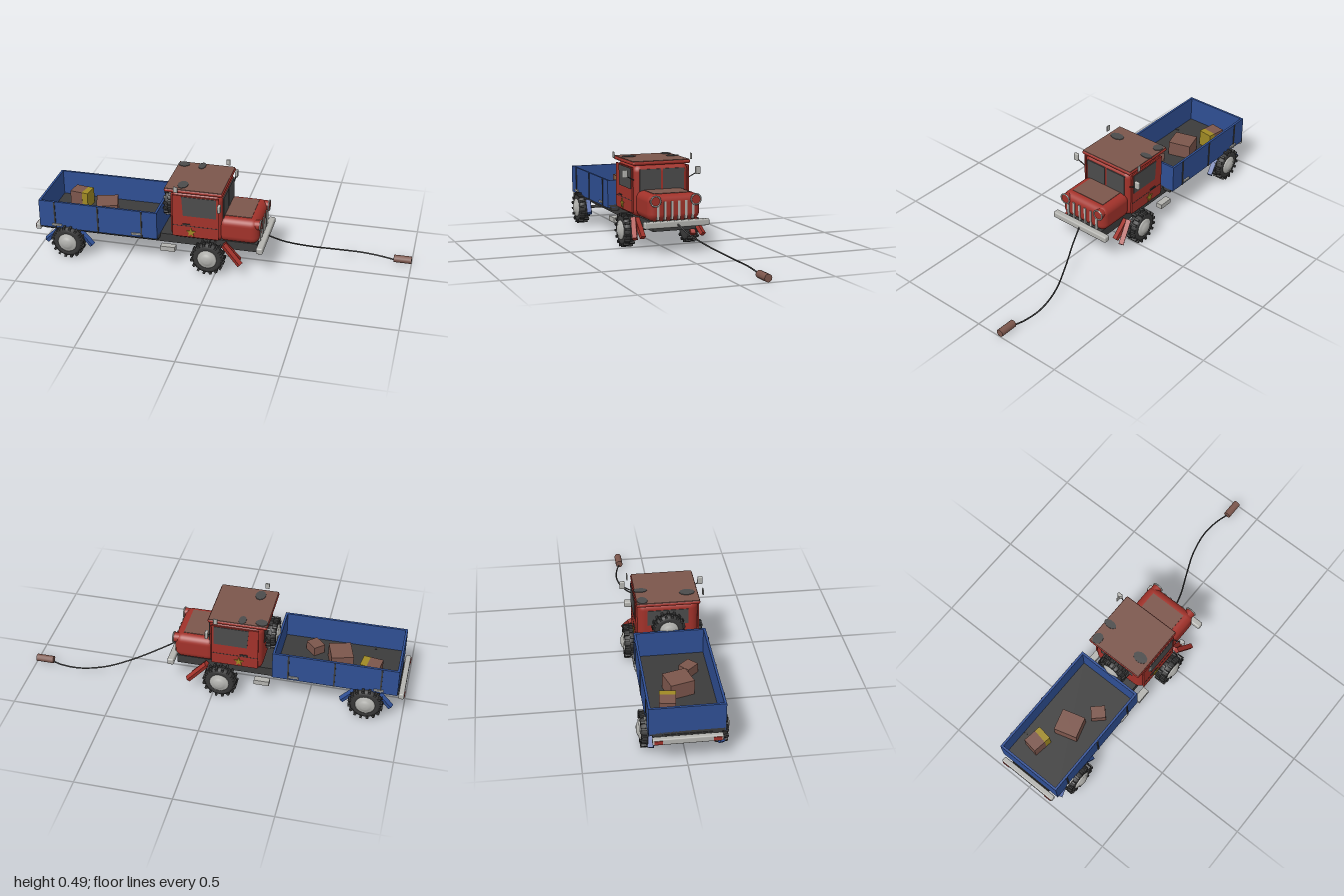
import * as THREE from 'three';
import { RoundedBoxGeometry } from 'three/addons/geometries/RoundedBoxGeometry.js';

const mat = (name, color, extra = {}) => {
  const m = new THREE.MeshStandardMaterial({ color, ...extra });
  m.name = name;
  return m;
};

export function createModel() {
  const root = new THREE.Group();
  root.name = 'truck';
  const red = mat('redPaint', 0xa2322a);
  const blue = mat('bluePaint', 0x2f4f94);
  const dark = mat('darkMetal', 0x3c3c3c);
  const tyre = mat('tyreRubber', 0x383838);
  const glass = mat('darkGlass', 0x4c4c4c);
  const grey = mat('paleMetal', 0xb4b4b0);
  const brown = mat('rustBrown', 0x7c564c);
  const gold = mat('gold', 0xa08a24);

  const add = (name, geo, material, x = 0, y = 0, z = 0, parent = root) => {
    const m = new THREE.Mesh(geo, material);
    m.name = name;
    m.position.set(x, y, z);
    parent.add(m);
    return m;
  };
  // box given by its min and max along each axis
  const box = (name, material, x0, x1, y0, y1, z0, z1, r = 0) => {
    const s = [x1 - x0, y1 - y0, z1 - z0];
    const geo = r ? new RoundedBoxGeometry(...s, 4, r) : new THREE.BoxGeometry(...s);
    return add(name, geo, material, (x0 + x1) / 2, (y0 + y1) / 2, (z0 + z1) / 2);
  };
  // round bar or slab spanning two points
  const span = (name, geoFor, material, a, b) => {
    const p = new THREE.Vector3(...a), q = new THREE.Vector3(...b);
    const d = q.clone().sub(p);
    const m = add(name, geoFor(d.length()), material);
    m.position.copy(p).add(q).multiplyScalar(0.5);
    m.quaternion.setFromUnitVectors(new THREE.Vector3(0, 1, 0), d.normalize());
    return m;
  };

  // chassis and bumpers
  box('chassis', dark, -0.97, 0.21, 0.12, 0.168, -0.12, 0.12);
  box('bedBase', dark, -0.965, -0.315, 0.15, 0.17, -0.165, 0.165);
  box('frontBumper', grey, 0.215, 0.25, 0.142, 0.177, -0.18, 0.18, 0.008);
  box('rearBumper', grey, -1.0, -0.972, 0.132, 0.165, -0.168, 0.168, 0.006);

  // cargo bed
  box('bedFloor', dark, -0.967, -0.315, 0.166, 0.182, -0.18, 0.18);
  for (const s of [-1, 1]) {
    const z = s * 0.178;
    box('bedSide', blue, -0.967, -0.315, 0.166, 0.32, z - 0.006, z + 0.006);
    for (const x of [-0.88, -0.64, -0.4])
      box('bedStrap', dark, x - 0.004, x + 0.004, 0.168, 0.318, s * 0.185 - 0.003, s * 0.185 + 0.003);
    for (const x of [-0.87, -0.43])
      box('bedLatch', grey, x - 0.026, x + 0.026, 0.18, 0.19, s * 0.187 - 0.005, s * 0.187 + 0.005);
    box('tailLight', red, -1.003, -0.997, 0.138, 0.158, s * 0.14 - 0.02, s * 0.14 + 0.02);
    box('sideStep', grey, -0.3, -0.22, 0.1, 0.126, s * 0.165 - 0.018, s * 0.165 + 0.018);
  }
  for (const x of [-0.961, -0.321]) box('bedEnd', blue, x - 0.006, x + 0.006, 0.166, 0.32, -0.18, 0.18);

  // cargo: x, z, size, height, turn, material
  for (const [x, z, w, h, turn, m] of [
    [-0.83, -0.077, 0.07, 0.09, -0.15, brown], [-0.78, -0.07, 0.035, 0.09, -0.15, gold],
    [-0.645, 0, 0.115, 0.08, 0.28, brown], [-0.5, 0.07, 0.065, 0.05, 0.75, brown]])
    add('crate', new THREE.BoxGeometry(w, h, m === gold ? 0.08 : w + 0.01), m, x, 0.182 + h / 2, z).rotation.y = turn;

  // wheels: lathed tyre, chunky lugs and a domed hub, axis along +z
  const tyreGeo = new THREE.LatheGeometry(
    [[0.04, -0.024], [0.065, -0.029], [0.081, -0.022], [0.083, 0], [0.081, 0.022], [0.065, 0.029], [0.04, 0.024]]
      .map(p => new THREE.Vector2(...p)), 32).rotateX(Math.PI / 2);
  const hubGeo = new THREE.LatheGeometry(
    [[0.052, -0.02], [0.052, 0.028], [0.045, 0.034], [0.036, 0.034], [0.03, 0.04], [0.016, 0.045], [0, 0.046]]
      .map(p => new THREE.Vector2(...p)), 24).rotateX(Math.PI / 2);
  const lugGeo = new THREE.BoxGeometry(0.012, 0.016, 0.028);
  const wheel = (name, parent) => {
    const g = new THREE.Group();
    g.name = name;
    add('tyre', tyreGeo, tyre, 0, 0, 0, g);
    add('hub', hubGeo, grey, 0, 0, 0, g);
    add('innerDisc', new THREE.CylinderGeometry(0.055, 0.055, 0.03, 24).rotateX(Math.PI / 2), dark, 0, 0, -0.009, g);
    for (let i = 0; i < 32; i++) {
      const a = i / 32 * Math.PI * 2;
      add('treadLug', lugGeo, tyre, -Math.sin(a) * 0.083, Math.cos(a) * 0.083, i % 2 ? 0.015 : -0.015, g).rotation.z = a;
    }
    parent.add(g);
    return g;
  };
  for (const x of [-0.81, -0.04]) {
    span('axle', l => new THREE.CylinderGeometry(0.009, 0.009, l, 12), dark, [x, 0.093, -0.17], [x, 0.093, 0.17]);
    for (const s of [-1, 1]) {
      const w = wheel('wheel', root);
      w.position.set(x, 0.093, s * 0.181);
      if (s < 0) w.rotation.y = Math.PI;
    }
  }
  const spare = wheel('spareWheel', root);
  spare.position.set(-0.283, 0.315, 0);
  spare.rotation.y = -Math.PI / 2;
  spare.scale.set(0.93, 0.93, 0.85);

  // slanted mudguards
  const flap = l => new THREE.BoxGeometry(0.022, l, 0.026);
  for (const s of [-1, 1]) {
    span('frontMudguard', flap, red, [0.04, 0.168, s * 0.165], [0.135, 0.074, s * 0.192]);
    span('innerMudguard', flap, red, [0.04, 0.165, s * 0.148], [0.12, 0.075, s * 0.142]);
    for (const d of [-1, 1])
      span('rearMudguard', flap, blue, [-0.81 + d * 0.06, 0.14, s * 0.155], [-0.81 + d * 0.13, 0.076, s * 0.17]);
  }

  // cab
  box('cab', red, -0.255, 0.03, 0.167, 0.445, -0.157, 0.157, 0.04);
  box('roof', red, -0.28, 0.033, 0.441, 0.462, -0.163, 0.163, 0.01);
  box('roofTop', brown, -0.276, 0.028, 0.457, 0.4635, -0.159, 0.159);
  for (const [x, z, rx, rz] of [[-0.245, -0.13, 0.032, 0.027], [-0.145, -0.13, 0.02, 0.036], [-0.19, 0.105, 0.028, 0.04]])
    add('roofPatch', new THREE.CylinderGeometry(1, 1, 0.003, 10), glass, x, 0.465, z).scale.set(rx, 1, rz);
  for (const s of [-1, 1]) box('windscreen', glass, 0.024, 0.033, 0.302, 0.42, s * 0.066 - 0.06, s * 0.066 + 0.06);
  box('rearWindow', glass, -0.258, -0.25, 0.32, 0.405, -0.105, 0.105);

  // star outline for the doors
  const star = new THREE.Shape(Array.from({ length: 10 }, (_, i) => {
    const r = i % 2 ? 0.011 : 0.027, a = i * Math.PI / 5;
    return new THREE.Vector2(Math.sin(a) * r, Math.cos(a) * r);
  }));
  const starGeo = new THREE.ExtrudeGeometry(star, { depth: 0.004, bevelEnabled: false }).translate(0, 0, -0.002);
  const windowShape = new THREE.Shape([[-0.185, 0.425], [0.0, 0.425], [0.0, 0.315], [-0.177, 0.315]]
    .map(p => new THREE.Vector2(...p)).reverse());
  const windowGeo = new THREE.ExtrudeGeometry(windowShape, { depth: 0.004, bevelEnabled: false }).translate(0, 0, -0.002);
  for (const s of [-1, 1]) {
    const strip = (name, m, x0, x1, y0, y1, z, t) => box(name, m, x0, x1, y0, y1, s * z - t, s * z + t);
    strip('door', red, -0.235, 0.012, 0.19, 0.43, 0.159, 0.004);
    add('sideWindow', windowGeo, glass, 0, 0, s * 0.164);
    strip('doorSeam', dark, -0.235, 0.012, 0.253, 0.256, 0.163, 0.001);
    strip('doorHandle', dark, -0.18, -0.14, 0.262, 0.268, 0.165, 0.003);
    add('doorStar', starGeo, gold, -0.135, 0.22, s * 0.165);
    // wing mirrors
    box('mirror', grey, 0.018, 0.034, 0.38, 0.422, s * 0.207 - 0.014, s * 0.207 + 0.014, 0.005);
    span('mirrorArm', l => new THREE.CylinderGeometry(0.003, 0.003, l, 8), dark,
      [0.02, 0.365, s * 0.155], [0.025, 0.388, s * 0.196]);
  }
  // small raised markers beside the roof
  for (const [x, z] of [[-0.21, 0.185], [-0.015, -0.185]])
    box('roofMarker', grey, x - 0.011, x + 0.011, 0.457, 0.49, z - 0.003, z + 0.003, 0.002);

  // bonnet, grille and headlights
  box('bonnet', red, 0.0, 0.22, 0.17, 0.31, -0.145, 0.145, 0.04);
  box('bonnetTop', brown, 0.034, 0.175, 0.305, 0.3125, -0.102, 0.102);
  for (const z of [-0.097, -0.058, -0.019, 0.019, 0.058, 0.097])
    box('grilleBar', grey, 0.212, 0.224, 0.18, Math.abs(z) > 0.09 ? 0.255 : 0.277, z - 0.006, z + 0.006);
  for (const s of [-1, 1]) {
    add('headlight', new THREE.CylinderGeometry(0.027, 0.024, 0.04, 24).rotateZ(-Math.PI / 2), red, 0.208, 0.28, s * 0.112);
    add('headlightRing', new THREE.TorusGeometry(0.027, 0.004, 10, 28).rotateY(Math.PI / 2), grey, 0.227, 0.28, s * 0.112);
  }

  // trailing cable and its plug
  const path = new THREE.CatmullRomCurve3([
    [0.245, 0.16, 0], [0.33, 0.118, -0.03], [0.46, 0.071, -0.09], [0.6, 0.037, -0.148],
    [0.74, 0.02, -0.175], [0.85, 0.014, -0.165], [0.915, 0.014, -0.145]].map(p => new THREE.Vector3(...p)));
  add('cable', new THREE.TubeGeometry(path, 48, 0.004, 8), dark);
  add('cablePlug', new THREE.CylinderGeometry(0.02, 0.02, 0.095, 12).rotateZ(Math.PI / 2), brown, 0.9525, 0.024, -0.145);

  return root;
}
